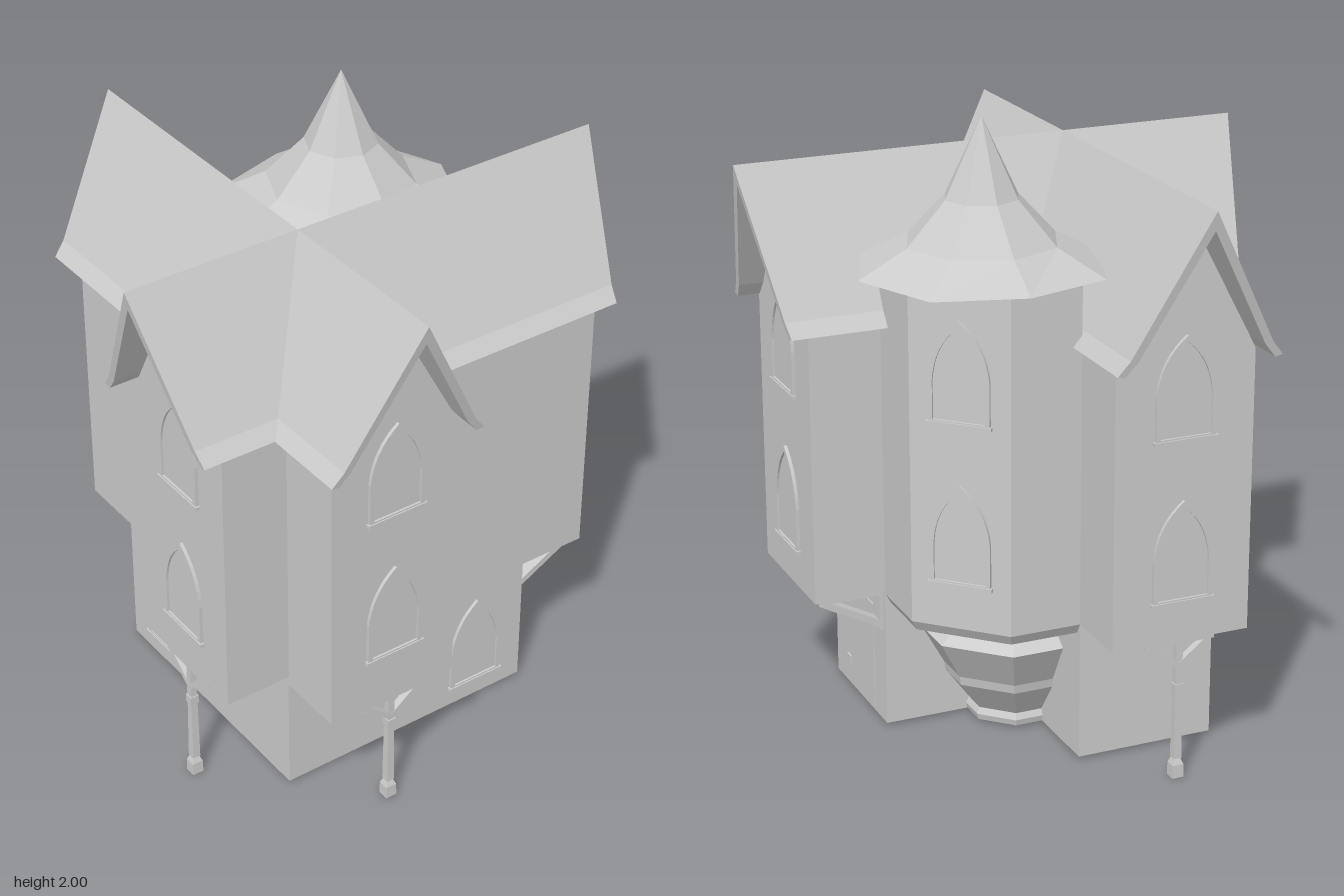
import * as THREE from 'three';

const mat = new THREE.MeshStandardMaterial({ color: 0xcccccc, flatShading: true, side: THREE.DoubleSide });

function add(parent, name, geo, x = 0, y = 0, z = 0) {
  const m = new THREE.Mesh(geo, mat);
  m.name = name;
  m.position.set(x, y, z);
  parent.add(m);
  return m;
}
const box = (w, h, d) => new THREE.BoxGeometry(w, h, d);
const polygon = pts => new THREE.Shape(pts.map(p => new THREE.Vector2(p[0], p[1])));
const extrude = (shape, depth) =>
  new THREE.ExtrudeGeometry(shape, { depth, bevelEnabled: false, curveSegments: 8 });

// Skin a stack of closed rings, listed from bottom to top
function loft(rings) {
  const pos = [];
  for (let r = 0; r < rings.length - 1; r++) {
    const a = rings[r], b = rings[r + 1], n = a.length;
    for (let i = 0; i < n; i++) {
      const j = (i + 1) % n;
      pos.push(...a[i], ...a[j], ...b[j], ...a[i], ...b[j], ...b[i]);
    }
  }
  const g = new THREE.BufferGeometry();
  g.setAttribute('position', new THREE.Float32BufferAttribute(pos, 3));
  g.computeVertexNormals();
  return g;
}

// Square bar between two points of a local XY plane
function beam(parent, name, x0, y0, x1, y1, thick, width, z) {
  const m = add(parent, name, box(Math.hypot(x1 - x0, y1 - y0), thick, width), (x0 + x1) / 2, (y0 + y1) / 2, z);
  m.rotation.z = Math.atan2(y1 - y0, x1 - x0);
}

// Pointed arch outline, half width w, base y b, full height h
function arch(w, b, h, Kind = THREE.Shape) {
  const s = new Kind();
  s.moveTo(-w, b);
  s.lineTo(w, b);
  s.lineTo(w, h * 0.45);
  s.quadraticCurveTo(w * 0.9, h * 0.8, 0, h);
  s.quadraticCurveTo(-w * 0.9, h * 0.8, -w, h * 0.45);
  s.lineTo(-w, b);
  return s;
}

// Lancet window: frame, pane and sill, facing local +z
function addWindow(parent, x, y, z, angle = 0) {
  const g = new THREE.Group();
  g.name = 'window';
  g.position.set(x, y, z);
  g.rotation.y = angle;
  const frame = arch(0.098, 0, 0.325);
  frame.holes.push(arch(0.083, 0.015, 0.305, THREE.Path));
  add(g, 'windowFrame', extrude(frame, 0.011));
  add(g, 'windowPane', extrude(arch(0.09, 0.005, 0.315), 0.004));
  add(g, 'windowSill', box(0.208, 0.012, 0.016), 0, 0.004, 0.007);
  parent.add(g);
}

// Turned-looking square post with a Y brace below an overhang at height top
function addPost(parent, top, z) {
  const g = new THREE.Group();
  g.name = 'post';
  g.position.z = z;
  const pole = (name, y0, y1, r0, r1) => {
    const c = new THREE.CylinderGeometry(r1 * Math.SQRT2, r0 * Math.SQRT2, y1 - y0, 4);
    c.rotateY(Math.PI / 4);
    add(g, name, c, 0, (y0 + y1) / 2, 0);
  };
  pole('postBase', 0, 0.042, 0.019, 0.018);
  pole('postBaseTaper', 0.042, 0.062, 0.018, 0.01);
  pole('postShaft', 0.062, 0.28, 0.013, 0.011);
  pole('postCollar', 0.28, 0.31, 0.014, 0.014);
  pole('postHead', 0.31, top, 0.011, 0.011);
  for (const s of [-1, 1]) beam(g, 'postBrace', 0, top - 0.085, s * 0.1, top - 0.008, 0.018, 0.024, 0);
  add(g, 'postPlate', box(0.23, 0.012, 0.024), 0, top - 0.006, 0);
  parent.add(g);
}

// Flared gable roof along local z, with ends leaning outwards to the ridge
function roofGeometry() {
  const outer = [[0.265, 1.34], [0.228, 1.385], [0, 1.815]];
  const inner = [[0, 1.755], [0.203, 1.38], [0.24, 1.335]];
  const flip = p => [-p[0], p[1]];
  const geo = extrude(polygon([
    ...outer, flip(outer[1]), flip(outer[0]), flip(inner[2]), flip(inner[1]), ...inner,
  ]), 1);
  const p = geo.attributes.position;
  for (let i = 0; i < p.count; i++) {
    const reach = 0.747 + (p.getY(i) - 1.34) * 0.16;
    p.setZ(i, p.getZ(i) > 0.5 ? reach : -reach);
  }
  geo.computeVertexNormals();
  return geo;
}

export function createModel() {
  const house = new THREE.Group();
  house.name = 'house';

  // L-shaped ground floor, leaving one corner free for the turret
  const plan = polygon([[-0.46, -0.445], [0.445, -0.445], [0.445, 0], [-0.01, 0], [-0.01, 0.455], [-0.46, 0.455]]);
  const ground = extrude(plan, 0.5);
  ground.rotateX(-Math.PI / 2);
  add(house, 'groundFloor', ground, 0, 0.01, 0);
  addWindow(house, 0.26, 0.075, 0.445);
  addWindow(house, -0.46, 0.075, -0.26, -Math.PI / 2);

  // Door with hinges on the side wall
  add(house, 'door', box(0.008, 0.36, 0.23), 0.445, 0.2, 0.215);
  for (const y of [0.1, 0.325]) add(house, 'doorHinge', box(0.02, 0.034, 0.03), 0.445, y, 0.315);

  // Four overhanging gabled wings around the crossing: name, angle, length, underside
  const wings = [
    ['frontWing', 0, 0.4475, 0.405],
    ['leftWing', Math.PI / 2, 0.91, 0.46],
    ['backWing', Math.PI, 0.9025, 0.455],
    ['rightWing', -Math.PI / 2, 0.445, 0.435],
  ];
  for (const [name, angle, length, base] of wings) {
    const wing = new THREE.Group();
    wing.name = name;
    wing.position.set(-0.235, 0, 0.2225);
    wing.rotation.y = angle;
    const wall = polygon([[-0.225, base], [0.225, base], [0.225, 1.345], [0, 1.77], [-0.225, 1.345]]);
    add(wing, 'wingWalls', extrude(wall, length));
    for (const y of [0.58, 1.09]) addWindow(wing, 0, y, length);
    if (name !== 'leftWing') addPost(wing, base, length - 0.014);
    house.add(wing);
  }

  // Two brackets carrying the wing above the door
  for (const z of [0.39, 0.042]) {
    const g = new THREE.Group();
    g.name = 'bracket';
    add(g, 'bracketPlate', box(0.014, 0.13, 0.055), 0.452, 0.393, z);
    add(g, 'bracketArm', box(0.21, 0.015, 0.055), 0.55, 0.452, z);
    beam(g, 'bracketStrut', 0.452, 0.345, 0.645, 0.447, 0.022, 0.05, z);
    house.add(g);
  }

  // Crossing roofs
  const roof = roofGeometry();
  add(house, 'lengthwiseRoof', roof, -0.246, 0, -0.004);
  add(house, 'crosswiseRoof', roof, 0, 0, 0.2).rotation.y = Math.PI / 2;

  // Corner turret with a stepped, tapering corbel: [size, height]
  const steps = [[0, 0.01], [0.18, 0.01], [0.185, 0.03], [0.175, 0.05], [0.255, 0.16], [0.26, 0.19],
    [0.335, 0.325], [0.29, 0.355], [0.435, 0.42], [0.455, 0.455], [0.455, 1.555]];
  add(house, 'turret', loft(steps.map(([s, y]) =>
    [[0, y, 0], [s, y, 0], [s, y, -s / 2], [s / 2, y, -s], [0, y, -s]])), -0.01, 0, 0);
  for (const y of [0.595, 1.105]) addWindow(house, 0.331, y, -0.341, Math.PI * 0.75);

  // Eight-sided bell-curved spire: [radius, height]
  const spire = [[0, 1.55], [0.387, 1.55], [0.235, 1.63], [0.115, 1.76], [0, 2]];
  add(house, 'turretSpire', loft(spire.map(([r, y]) =>
    Array.from({ length: 8 }, (_, i) => {
      const a = i * Math.PI / 4;
      return [r * Math.cos(a), y, Math.max(-r * Math.sin(a), -0.353)];
    }))), 0.211, 0, -0.23);

  return house;
}
